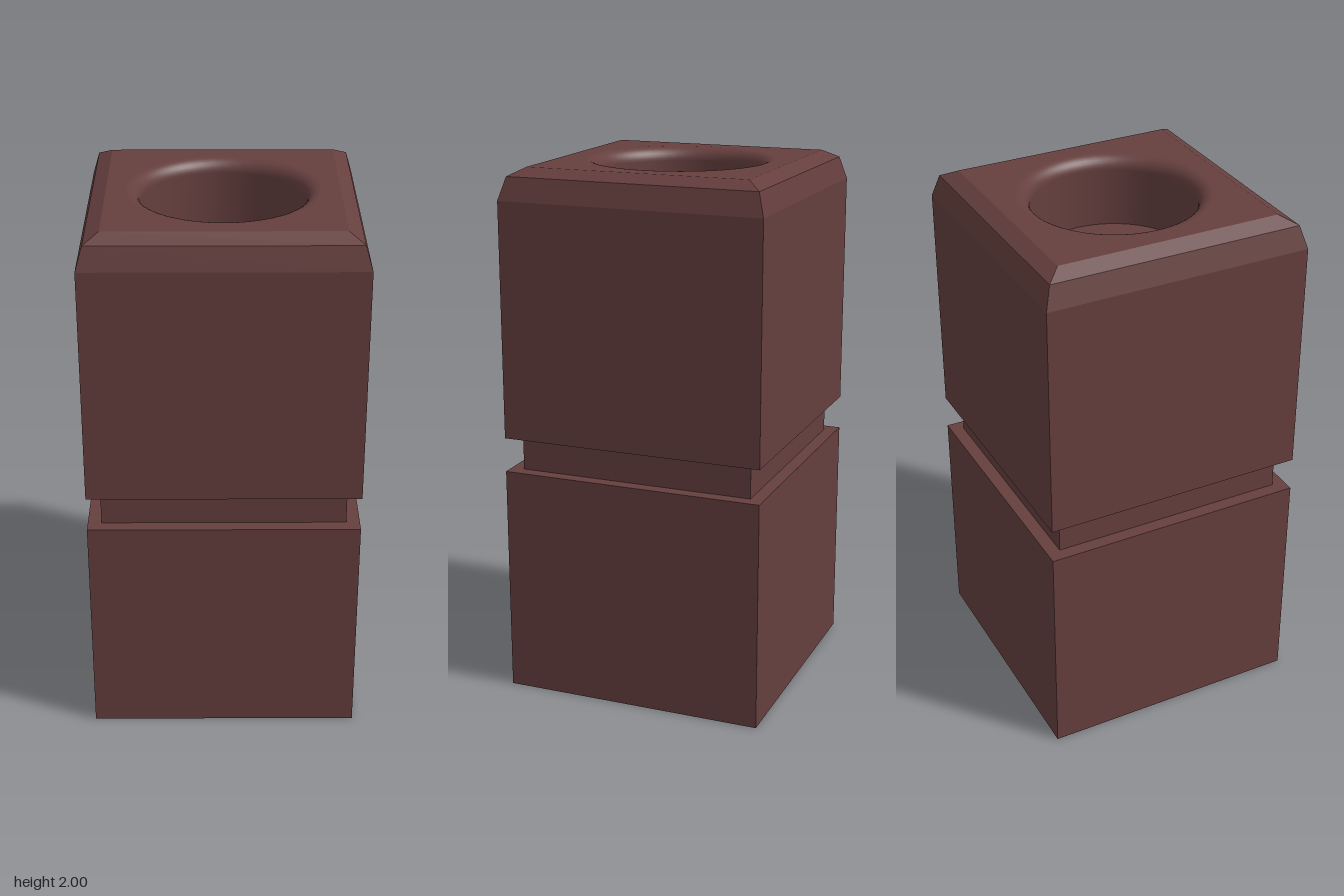
import * as THREE from 'three';

const BORE = 0.3, FILLET = 0.05, FLOOR_Y = 1.73;

export function createModel() {
  const group = new THREE.Group();
  const material = new THREE.MeshStandardMaterial({ color: 0x653f3e });
  material.name = 'reddish brown';

  function add(name, geometry) {
    const mesh = new THREE.Mesh(geometry, material);
    mesh.name = name;
    group.add(mesh);
    return mesh;
  }

  // Square section swept up a profile of [half width, height], with hard edges
  function squareLoft(profile) {
    const points = profile.map(([h, y]) => new THREE.Vector2(h * Math.SQRT2, y));
    const geometry = new THREE.LatheGeometry(points, 4, Math.PI / 4).toNonIndexed();
    geometry.computeVertexNormals();
    return geometry;
  }

  // Lower block, recessed neck, and upper block with a two-step chamfer
  add('lowerBlock', squareLoft([[0, 0], [0.5, 0], [0.5, 0.87], [0.45, 0.87]]));
  add('neck', squareLoft([[0.45, 0.87], [0.45, 1]]));
  add('upperBlock', squareLoft([[0.45, 1], [0.5, 1], [0.5, 1.885], [0.475, 1.97], [0.42, 2]]));

  // Top face with a round opening
  const half = 0.42;
  const face = new THREE.Shape([
    new THREE.Vector2(-half, -half), new THREE.Vector2(half, -half),
    new THREE.Vector2(half, half), new THREE.Vector2(-half, half),
  ]);
  face.holes.push(new THREE.Path().absarc(0, 0, BORE + FILLET, 0, Math.PI * 2, true));
  add('topFace', new THREE.ShapeGeometry(face, 24).rotateX(-Math.PI / 2).translate(0, 2, 0));

  // Rounded lip running down into the straight wall of the socket
  const lip = [];
  for (let i = 0; i <= 8; i++) {
    const a = (i / 8) * Math.PI / 2;
    lip.push(new THREE.Vector2(BORE + FILLET * (1 - Math.sin(a)), 2 - FILLET * (1 - Math.cos(a))));
  }
  lip.push(new THREE.Vector2(BORE, FLOOR_Y));
  add('socketWall', new THREE.LatheGeometry(lip, 48));
  add('socketFloor', new THREE.CircleGeometry(BORE, 48).rotateX(-Math.PI / 2).translate(0, FLOOR_Y, 0));

  return group;
}
